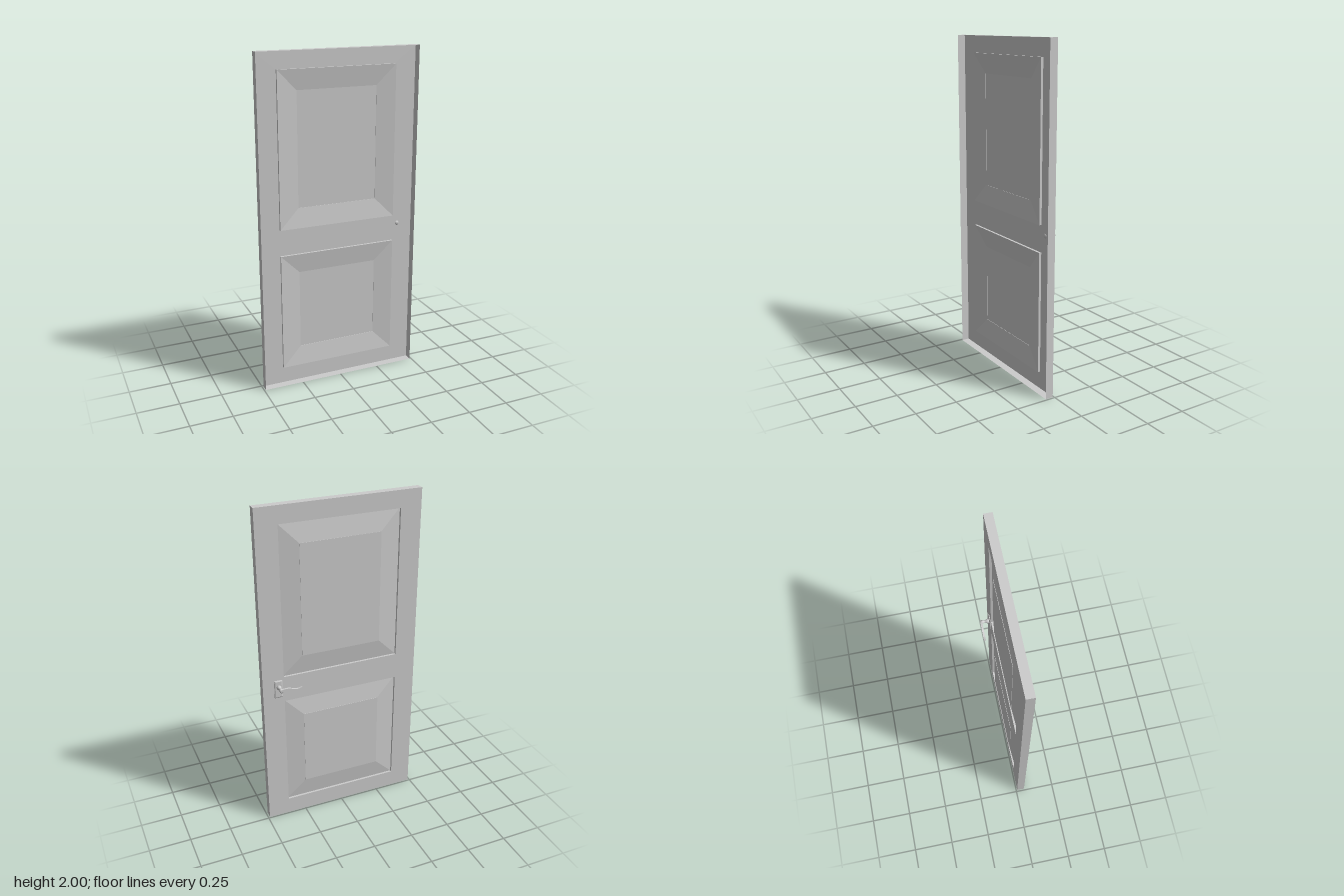
import * as THREE from 'three';

const BACK = 0.007, FRONT = 0.055, RECESS = 0.021, FIELD = 0.003;
const HX = 0.396, HY = 0.93;   // handle axis

const material = new THREE.MeshStandardMaterial({ color: 0xcccccc, side: THREE.DoubleSide });

function add(parent, name, geometry) {
  const mesh = new THREE.Mesh(geometry, material);
  mesh.name = name;
  parent.add(mesh);
  return mesh;
}

// Corners of a rectangle at depth z
const ring = ([x0, x1, y0, y1], z) => [[x0, y0, z], [x1, y0, z], [x1, y1, z], [x0, y1, z]];

// Flat-faced skin through successive rectangles, optionally closed at the last one
function skin(rings, cap) {
  const pos = [];
  const quad = (a, b, c, d) => pos.push(...a, ...b, ...c, ...a, ...c, ...d);
  for (let r = 0; r < rings.length - 1; r++) {
    const p = rings[r], q = rings[r + 1];
    for (let i = 0; i < 4; i++) {
      const j = (i + 1) % 4;
      quad(p[i], q[i], q[j], p[j]);
    }
  }
  if (cap) {
    const e = rings[rings.length - 1];
    quad(e[0], e[3], e[2], e[1]);
  }
  const g = new THREE.BufferGeometry();
  g.setAttribute('position', new THREE.Float32BufferAttribute(pos, 3));
  g.computeVertexNormals();
  return g;
}

function rectPath(path, [x0, x1, y0, y1]) {
  path.moveTo(x0, y0).lineTo(x1, y0).lineTo(x1, y1).lineTo(x0, y1).closePath();
  return path;
}

export function createModel() {
  const model = new THREE.Group();
  model.name = 'door';

  const outer = [-0.49, 0.49, 0, 2];
  const openings = [
    ['upperPanel', [-0.362, 0.36, 0.985, 1.897]],
    ['lowerPanel', [-0.362, 0.36, 0.105, 0.825]],
  ];

  // Frame face with two openings, its winding reversed to face the back
  const face = rectPath(new THREE.Shape(), outer);
  for (const [, rect] of openings) face.holes.push(rectPath(new THREE.Path(), rect));
  const faceGeo = new THREE.ShapeGeometry(face);
  faceGeo.setIndex(Array.from(faceGeo.index.array).reverse());
  faceGeo.computeVertexNormals();
  faceGeo.translate(0, 0, BACK);
  add(model, 'frameFace', faceGeo);

  // Thin edge walls, open at the front
  add(model, 'edgeWalls', skin([ring(outer, FRONT), ring(outer, BACK)], false));

  // Recessed panels with a sloping border and a raised field
  for (const [name, rect] of openings) {
    const [x0, x1, y0, y1] = rect;
    const field = [x0 + 0.118, x1 - 0.116, y0 + 0.118, y1 - 0.118];
    add(model, name, skin([
      ring(rect, BACK), ring(rect, RECESS), ring(field, FIELD + 0.002), ring(field, FIELD),
    ], true));
  }

  const handle = new THREE.Group();
  handle.name = 'handle';
  model.add(handle);

  // Back plate with chamfered edge
  const plate = [HX - 0.025, HX + 0.025, 0.859, 0.971];
  const inner = [HX - 0.019, HX + 0.019, 0.865, 0.965];
  add(handle, 'backPlate', skin([ring(plate, BACK), ring(plate, 0.003), ring(inner, 0)], true));

  // Turned stem, running through the door face
  const profile = [
    [0, -0.008], [0.013, -0.008], [0.013, 0.004], [0.0145, 0.008], [0.0125, 0.015],
    [0.0085, 0.023], [0.007, 0.029], [0.0095, 0.034], [0.0115, 0.04], [0.0115, 0.054], [0, 0.055],
  ].map(([r, y]) => new THREE.Vector2(r, y));
  const stem = add(handle, 'stem', new THREE.LatheGeometry(profile, 20));
  stem.rotation.x = -Math.PI / 2;
  stem.position.set(HX, HY, 0);

  // Wavy lever
  const lever = new THREE.Shape();
  const pts = (list) => list.map(([x, y]) => new THREE.Vector2(x, y));
  lever.moveTo(0.402, 0.938);
  lever.splineThru(pts([[0.375, 0.941], [0.35, 0.94], [0.32, 0.931], [0.295, 0.927], [0.27, 0.934]]));
  lever.lineTo(0.27, 0.928);
  lever.splineThru(pts([[0.295, 0.92], [0.32, 0.922], [0.35, 0.929], [0.375, 0.928], [0.402, 0.923]]));
  lever.closePath();
  const leverGeo = new THREE.ExtrudeGeometry(lever, { depth: 0.012, bevelEnabled: false, curveSegments: 16 });
  leverGeo.translate(0, 0, -0.055);
  add(handle, 'lever', leverGeo);

  return model;
}
